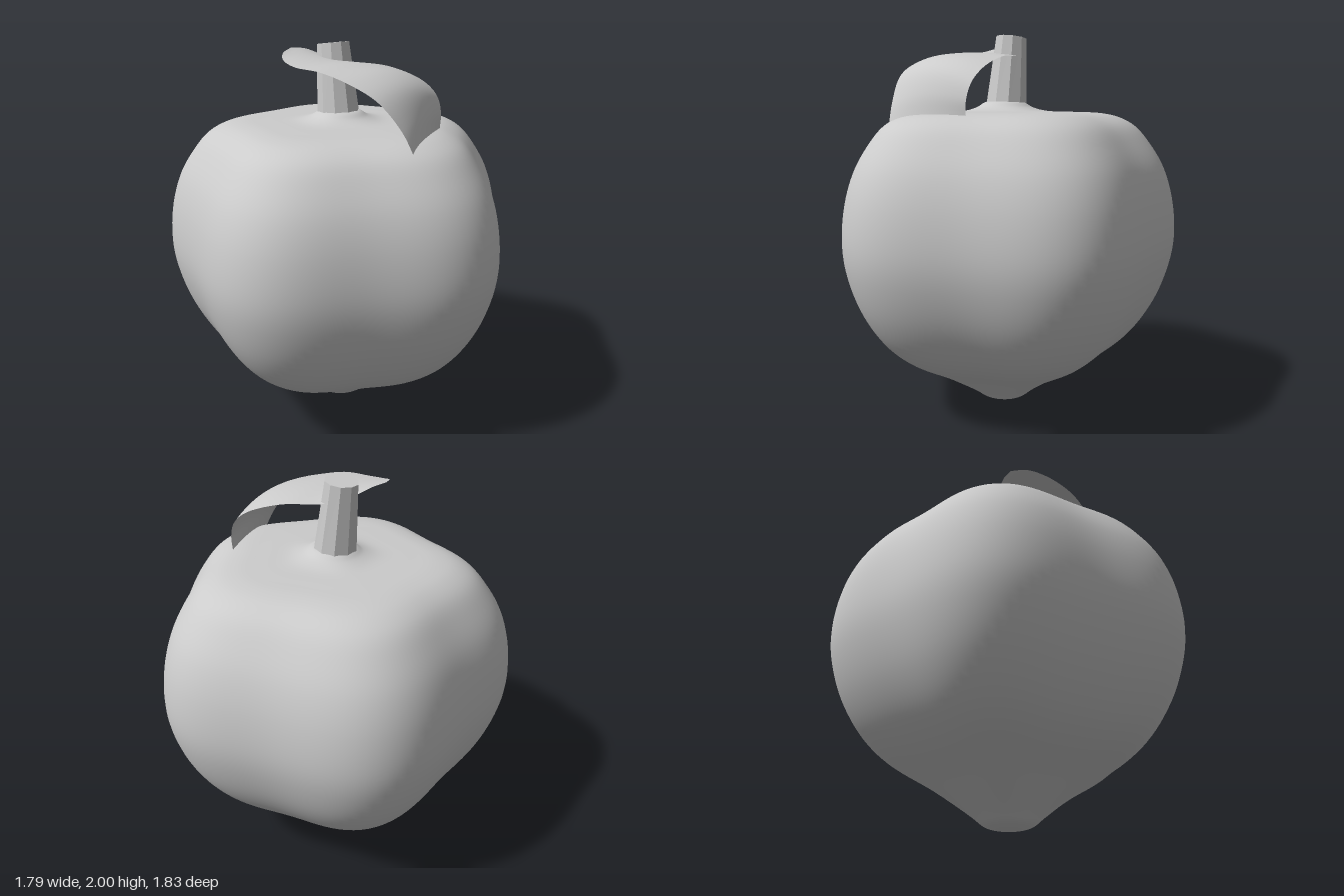
import * as THREE from 'three';
import { mergeVertices } from 'three/addons/utils/BufferGeometryUtils.js';

const material = new THREE.MeshStandardMaterial({ color: 0xcccccc });
const AXIS_X = -0.05;

function part(name, geometry, mat = material) {
  const mesh = new THREE.Mesh(geometry, mat);
  mesh.name = name;
  return mesh;
}

// Lathed fruit whose radius swells into five soft lobes
function fruitGeometry() {
  const profile = [
    [0, 0], [0.07, 0.002], [0.125, 0.018], [0.18, 0.06], [0.36, 0.185], [0.585, 0.32],
    [0.7, 0.43], [0.805, 0.6], [0.87, 0.79], [0.89, 0.95], [0.87, 1.15], [0.82, 1.31],
    [0.75, 1.43], [0.67, 1.525], [0.585, 1.573], [0.49, 1.594], [0.36, 1.6],
    [0.22, 1.606], [0.15, 1.625], [0.1, 1.653], [0, 1.655],
  ].map(([r, y]) => new THREE.Vector3(r, y, 0));
  const points = new THREE.CatmullRomCurve3(profile).getPoints(110)
    .map((p) => new THREE.Vector2(Math.max(p.x, 0), Math.max(p.y, 0)));
  points[points.length - 1].x = 0;

  let geometry = new THREE.LatheGeometry(points, 120);
  const pos = geometry.attributes.position;
  for (let i = 0; i < pos.count; i++) {
    const x = pos.getX(i), z = pos.getZ(i), r = Math.hypot(x, z);
    const fade = THREE.MathUtils.smoothstep(r, 0.08, 0.35);
    const k = 1 + 0.054 * fade * Math.cos(5 * Math.atan2(z, x));
    pos.setXYZ(i, AXIS_X + x * k, pos.getY(i), z * k);
  }
  // Weld the seam so that the shading runs on smoothly
  geometry.deleteAttribute('uv');
  geometry.deleteAttribute('normal');
  geometry = mergeVertices(geometry, 1e-5);
  geometry.computeVertexNormals();
  return geometry;
}

// Tapered, leaning stem with a slightly tilted end
function stemGeometry() {
  const bottom = 1.62, top = 1.99;
  const geometry = new THREE.CylinderGeometry(0.083, 0.112, top - bottom, 10);
  const pos = geometry.attributes.position;
  for (let i = 0; i < pos.count; i++) {
    const t = pos.getY(i) > 0 ? 1 : 0;
    const x = pos.getX(i);
    pos.setX(i, x + THREE.MathUtils.lerp(-0.06, -0.097, t));
    pos.setY(i, t ? top + 0.12 * x : bottom);
  }
  geometry.computeVertexNormals();
  return geometry;
}

// Leaf sheet lofted between a back edge, a midrib and a front edge
function leafGeometry() {
  const rail = (list) => new THREE.CatmullRomCurve3(list.map((p) => new THREE.Vector3(...p)));
  const back = rail([
    [0.41, 1.58, -0.25], [0.41, 1.66, -0.255], [0.38, 1.74, -0.258], [0.3, 1.81, -0.245],
    [0.12, 1.875, -0.18], [-0.05, 1.89, -0.09], [-0.15, 1.92, 0], [-0.21, 1.96, 0.09],
    [-0.232, 1.967, 0.17],
  ]);
  const mid = rail([
    [0.5, 1.57, -0.04], [0.48, 1.69, -0.02], [0.42, 1.81, 0], [0.32, 1.875, 0.03],
    [0.16, 1.905, 0.08], [0, 1.915, 0.12], [-0.12, 1.935, 0.15], [-0.2, 1.955, 0.17],
    [-0.232, 1.967, 0.17],
  ]);
  const front = rail([
    [0.58, 1.525, 0.16], [0.53, 1.65, 0.2], [0.44, 1.78, 0.265], [0.32, 1.85, 0.315],
    [0.16, 1.895, 0.348], [0, 1.905, 0.355], [-0.12, 1.925, 0.32], [-0.19, 1.95, 0.26],
    [-0.232, 1.967, 0.17],
  ]);
  const along = 48, across = 12;
  const geometry = new THREE.PlaneGeometry(1, 1, across, along);
  const pos = geometry.attributes.position;
  for (let j = 0; j <= along; j++) {
    const [a, m, b] = [back, mid, front].map((c) => c.getPoint(j / along));
    for (let i = 0; i <= across; i++) {
      const t = i / across;
      // Parabola through the three rails
      const p = a.clone().multiplyScalar((1 - t) * (1 - 2 * t))
        .addScaledVector(m, 4 * t * (1 - t))
        .addScaledVector(b, t * (2 * t - 1));
      pos.setXYZ(j * (across + 1) + i, p.x, p.y, p.z);
    }
  }
  // Turn the faces so that their fronts look up
  const index = geometry.index.array;
  for (let i = 0; i < index.length; i += 3) {
    [index[i], index[i + 1]] = [index[i + 1], index[i]];
  }
  geometry.computeVertexNormals();
  return geometry;
}

export function createModel() {
  const group = new THREE.Group();
  group.name = 'fruit';

  const flat = material.clone();
  flat.flatShading = true;
  const sheet = material.clone();
  sheet.side = THREE.DoubleSide;

  group.add(
    part('fruitBody', fruitGeometry()),
    part('stem', stemGeometry(), flat),
    part('leaf', leafGeometry(), sheet),
  );
  return group;
}
